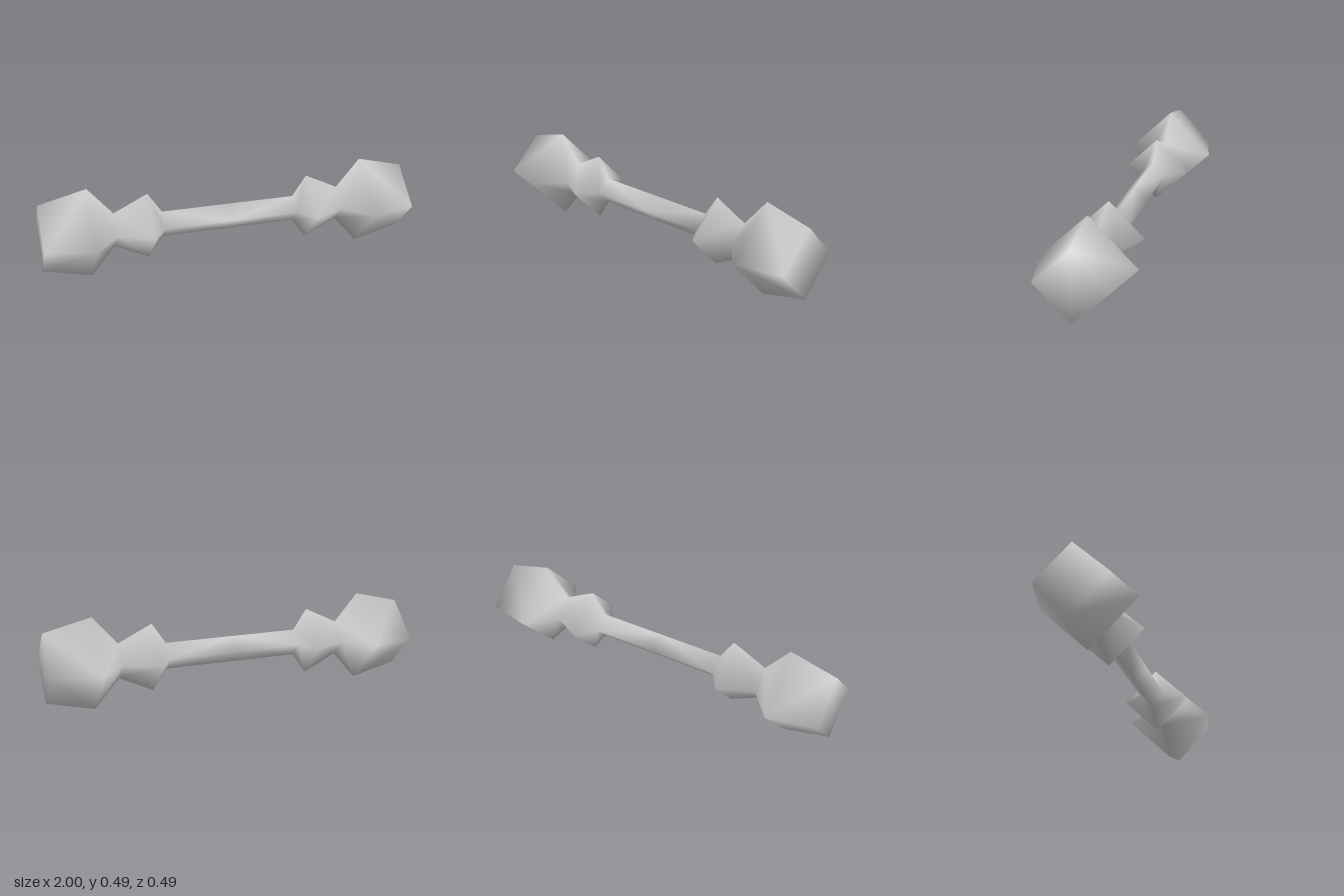
import * as THREE from 'three';

export function createModel() {
  const grey = new THREE.MeshStandardMaterial({ color: 0xcccccc });
  grey.name = 'grey';

  // Half profile from the middle of the grip to the end cap: [x, radius]
  const half = [[0, 0.07], [0.365, 0.07], [0.44, 0.18], [0.62, 0.093], [0.75, 0.243], [1, 0.183]];
  const rings = [...half.slice(1).reverse().map(([x, r]) => [-x, r]), ...half];
  const last = rings.length - 1;
  const sides = 4;
  const centreY = 0.243;

  // Diamond cross-sections, starting at the top and turning to the front
  const positions = [];
  for (const [x, r] of rings) {
    for (let k = 0; k < sides; k++) {
      const a = (k / sides) * Math.PI * 2;
      positions.push(x, centreY + r * Math.cos(a), r * Math.sin(a));
    }
  }

  // Walls between neighbouring rings; diagonals mirror about the middle
  const index = [];
  for (let i = 0; i < last; i++) {
    const rightHalf = i >= last / 2;
    const endSegment = i === 0 || i === last - 1;
    for (let k = 0; k < sides; k++) {
      const n = (k + 1) % sides;
      const a = i * sides + k, b = i * sides + n;
      const c = a + sides, d = b + sides;
      if (rightHalf !== endSegment) index.push(a, b, c, b, d, c);
      else index.push(a, b, d, a, d, c);
    }
  }

  // End caps share the ring vertices, so the shading rolls over the edge
  const e = last * sides;
  index.push(e, e + 1, e + 2, e, e + 2, e + 3);
  index.push(0, 2, 1, 0, 3, 2);

  const geometry = new THREE.BufferGeometry();
  geometry.setAttribute('position', new THREE.Float32BufferAttribute(positions, 3));
  geometry.setIndex(index);
  geometry.computeVertexNormals();

  const bar = new THREE.Mesh(geometry, grey);
  bar.name = 'barWithKnobs';

  const group = new THREE.Group();
  group.name = 'knobbedBar';
  group.add(bar);
  return group;
}
